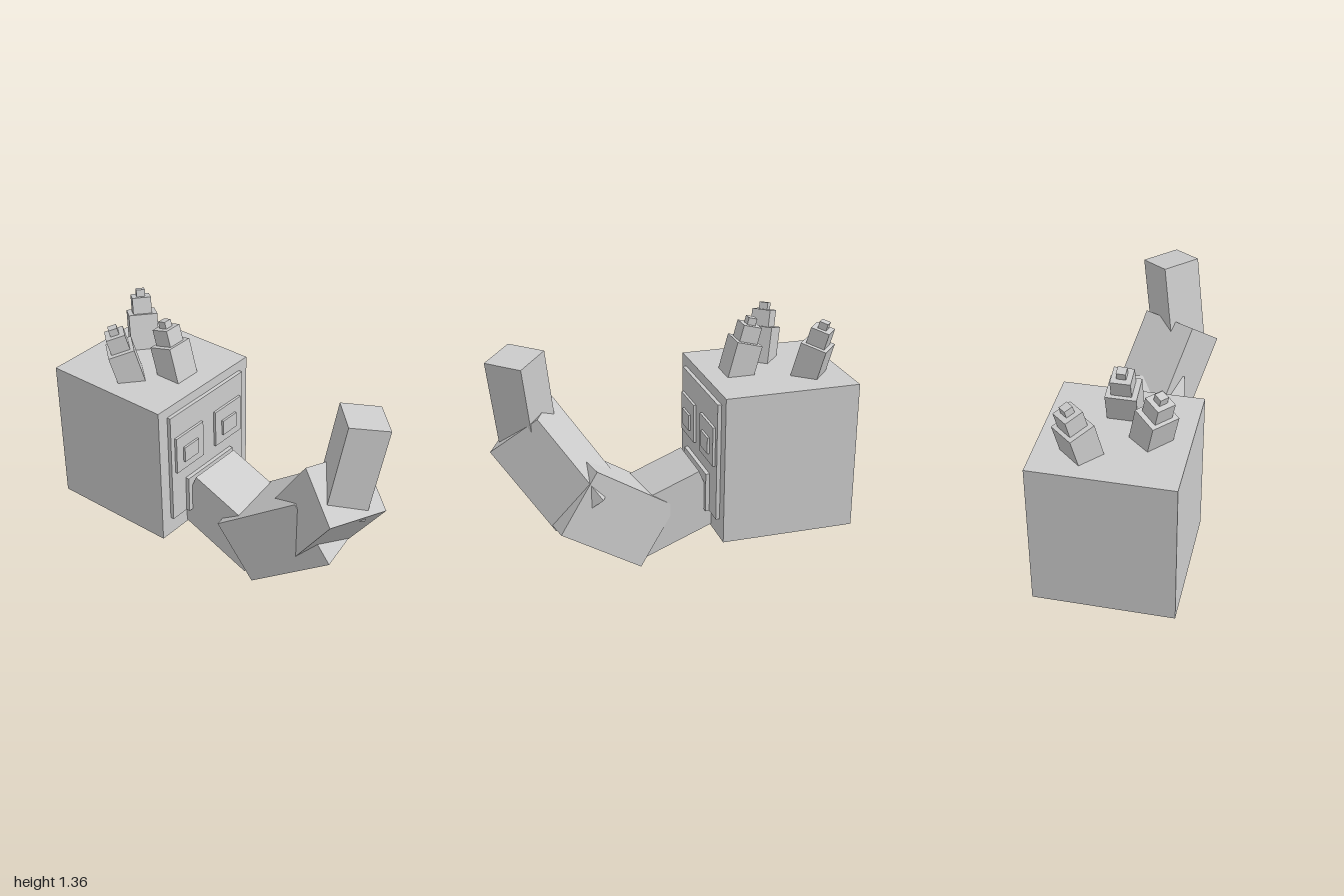
import * as THREE from 'three';

const deg = THREE.MathUtils.degToRad;

export function createModel() {
  const model = new THREE.Group();
  model.name = 'blockElephantHead';
  const grey = new THREE.MeshStandardMaterial({ color: 0xcccccc });
  grey.name = 'grey';

  // Box with a size, a centre and an optional pitch and yaw in degrees
  function box(parent, name, size, centre, pitch = 0, yaw = 0) {
    const mesh = new THREE.Mesh(new THREE.BoxGeometry(...size), grey);
    mesh.name = name;
    mesh.position.set(...centre);
    mesh.rotation.set(deg(pitch), deg(yaw), 0, 'YXZ');
    parent.add(mesh);
    return mesh;
  }

  // Head and raised face plate
  box(model, 'head', [0.77, 0.86, 0.775], [0, 0.618, -0.6125]);
  box(model, 'facePlate', [0.63, 0.69, 0.03], [0, 0.645, -0.218]);

  // Eyes and mouth
  for (const [side, s] of [['left', 1], ['right', -1]]) {
    box(model, side + 'Eye', [0.23, 0.23, 0.03], [s * 0.17, 0.73, -0.203]);
    box(model, side + 'Pupil', [0.12, 0.095, 0.03], [s * 0.17, 0.717, -0.19]);
  }
  box(model, 'mouth', [0.4, 0.23, 0.04], [0, 0.415, -0.2]);

  // Trunk, from the face to the raised tip
  const trunk = new THREE.Group();
  trunk.name = 'trunk';
  model.add(trunk);
  box(trunk, 'trunkBase', [0.344, 0.344, 0.52], [0, 0.283, 0.0265], 22, 0);
  box(trunk, 'trunkLower', [0.4, 0.4, 0.571], [0.0285, 0.328, 0.3615], -33.4, 9.8);
  box(trunk, 'trunkUpper', [0.338, 0.342, 0.573], [-0.004, 0.616, 0.638], -52.5, -25.4);
  box(trunk, 'trunkTip', [0.233, 0.57, 0.225], [-0.031, 0.985, 0.794], 10.3, 45);

  // Tufts of three stacked blocks, each leaning outwards
  const tufts = [
    ['frontTuft', 0, -0.42, 0],
    ['leftTuft', 0.14, -0.797, -41],
    ['rightTuft', -0.176, -0.62, 49],
  ];
  const blocks = [[0.165, 0.15, -0.05, 0.185], [0.108, 0.108, 0.18, 0.28], [0.05, 0.05, 0.275, 0.32]];
  for (const [name, x, z, yaw] of tufts) {
    const tuft = new THREE.Group();
    tuft.name = name;
    tuft.position.set(x, 1.05, z);
    tuft.rotation.set(deg(-15), deg(yaw), 0, 'YXZ');
    model.add(tuft);
    blocks.forEach(([w, d, low, high], i) =>
      box(tuft, 'tuftBlock' + (i + 1), [w, high - low, d], [0, (low + high) / 2, 0]));
  }
  return model;
}
